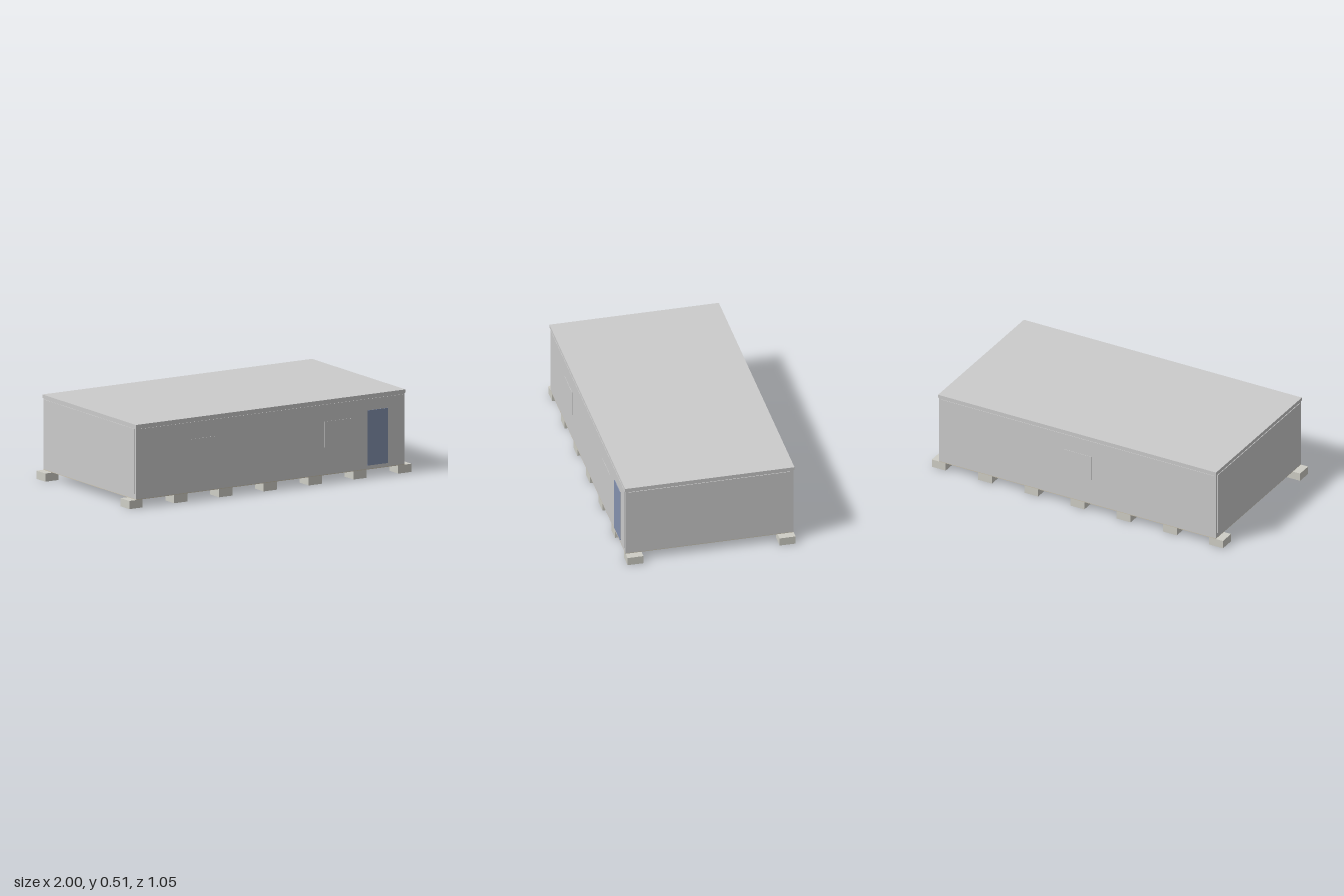
import * as THREE from 'three';

const grey = new THREE.MeshStandardMaterial({ color: 0xcccccc });
const concrete = new THREE.MeshStandardMaterial({ color: 0xcfcec6 });
const floorColor = new THREE.MeshStandardMaterial({ color: 0xcdc5b2 });
const doorBlue = new THREE.MeshStandardMaterial({ color: 0x8592b0 });

export function createModel() {
  const group = new THREE.Group();

  // Box given by its extents on each axis
  const box = (name, [x0, x1], [y0, y1], [z0, z1], material = grey) => {
    const mesh = new THREE.Mesh(new THREE.BoxGeometry(x1 - x0, y1 - y0, z1 - z0), material);
    mesh.position.set((x0 + x1) / 2, (y0 + y1) / 2, (z0 + z1) / 2);
    mesh.name = name;
    group.add(mesh);
  };

  // Container frame, floor and overhanging roof
  box('floor', [-0.95, 0.95], [0.05, 0.054], [-0.517, 0.517], floorColor);
  box('frame', [-0.951, 0.951], [0.054, 0.49], [-0.517, 0.517]);
  box('roof', [-0.955, 0.955], [0.49, 0.51], [-0.521, 0.521]);

  // Wall panels standing slightly proud of the frame
  for (const s of [-1, 1]) {
    const z = [s * 0.51, s * 0.52].sort((a, b) => a - b);
    const x = [s * 0.94, s * 0.955].sort((a, b) => a - b);
    box(s > 0 ? 'frontWall' : 'backWall', [-0.935, 0.935], [0.083, 0.482], z);
    box(s > 0 ? 'leftWall' : 'rightWall', x, [0.083, 0.482], [-0.5, 0.5]);
  }

  // Door and windows
  box('door', [0.685, 0.83], [0.075, 0.412], [0.515, 0.523], doorBlue);
  for (const x of [-0.477, 0.477]) {
    box('frontWindow', [x - 0.095, x + 0.095], [0.22, 0.378], [0.515, 0.522]);
  }
  box('backWindow', [-0.097, 0.097], [0.22, 0.378], [-0.522, -0.515]);

  // Two rows of foundation blocks
  for (let i = 0; i < 7; i++) {
    const x = -0.9525 + i * 0.3175;
    for (const z of [-0.468, 0.468]) {
      box('foundationBlock', [x - 0.0475, x + 0.0475], [0, 0.05], [z - 0.049, z + 0.049], concrete);
    }
  }

  return group;
}
